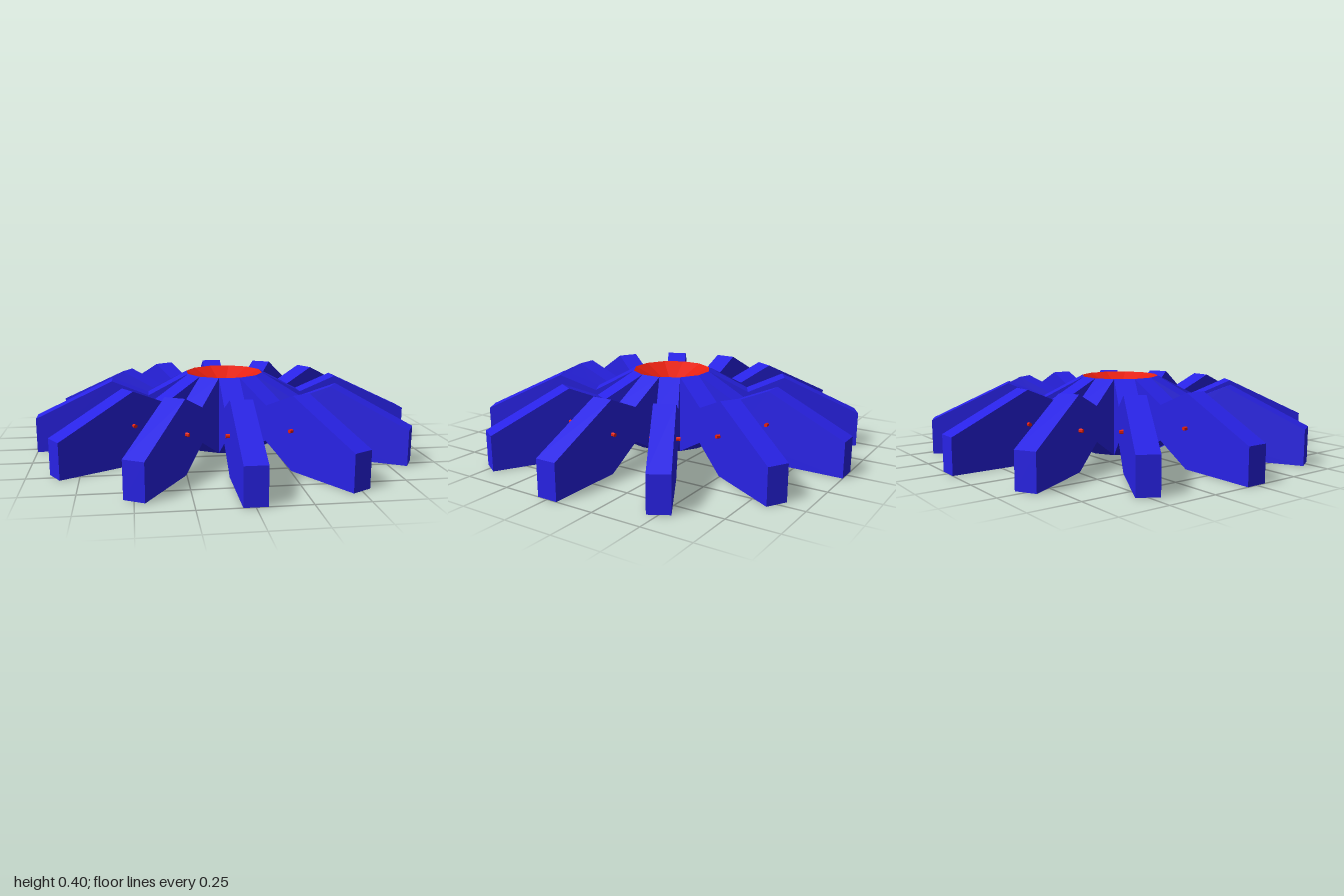
import * as THREE from 'three';

const COUNT = 12;
const FIN_WIDTH = 0.107;
const HUB_RADIUS = 0.2 / Math.cos(Math.PI / COUNT);

export function createModel() {
  const group = new THREE.Group();
  const blue = new THREE.MeshStandardMaterial({ color: 0x2822e6, flatShading: true });
  const red = new THREE.MeshStandardMaterial({ color: 0xe62010, flatShading: true, side: THREE.DoubleSide });

  // Side profile of one fin: x is the distance from the hub axis
  const profile = new THREE.Shape([
    [0.2, 0], [0.41, 0.11], [0.6, 0], [1, 0],
    [1, 0.18], [0.6, 0.37], [0.41, 0.29], [0.2, 0.4],
  ].map(([x, y]) => new THREE.Vector2(x, y)));
  const finGeometry = new THREE.ExtrudeGeometry(profile, { depth: FIN_WIDTH, bevelEnabled: false });
  finGeometry.translate(0, 0, -FIN_WIDTH / 2);

  // Small pin crossing each fin
  const pinGeometry = new THREE.CylinderGeometry(0.01, 0.01, 0.145, 6);
  pinGeometry.rotateX(Math.PI / 2).translate(0.6, 0.2, 0);

  for (let i = 0; i < COUNT; i++) {
    const arm = new THREE.Group();
    arm.name = `arm${i + 1}`;
    const fin = new THREE.Mesh(finGeometry, blue);
    fin.name = 'fin';
    const pin = new THREE.Mesh(pinGeometry, red);
    pin.name = 'pin';
    arm.add(fin, pin);
    arm.rotation.y = (i / COUNT) * Math.PI * 2;
    group.add(arm);
  }

  // Hollow cones sunk into the top and bottom of the hub
  const addDish = (name, rimY, tipY) => {
    const points = [new THREE.Vector2(0, tipY), new THREE.Vector2(HUB_RADIUS, rimY)];
    const dish = new THREE.Mesh(new THREE.LatheGeometry(points, COUNT, Math.PI / COUNT), red);
    dish.name = name;
    group.add(dish);
  };
  addDish('topDish', 0.4, 0.3);
  addDish('bottomDish', 0, 0.1);

  return group;
}
